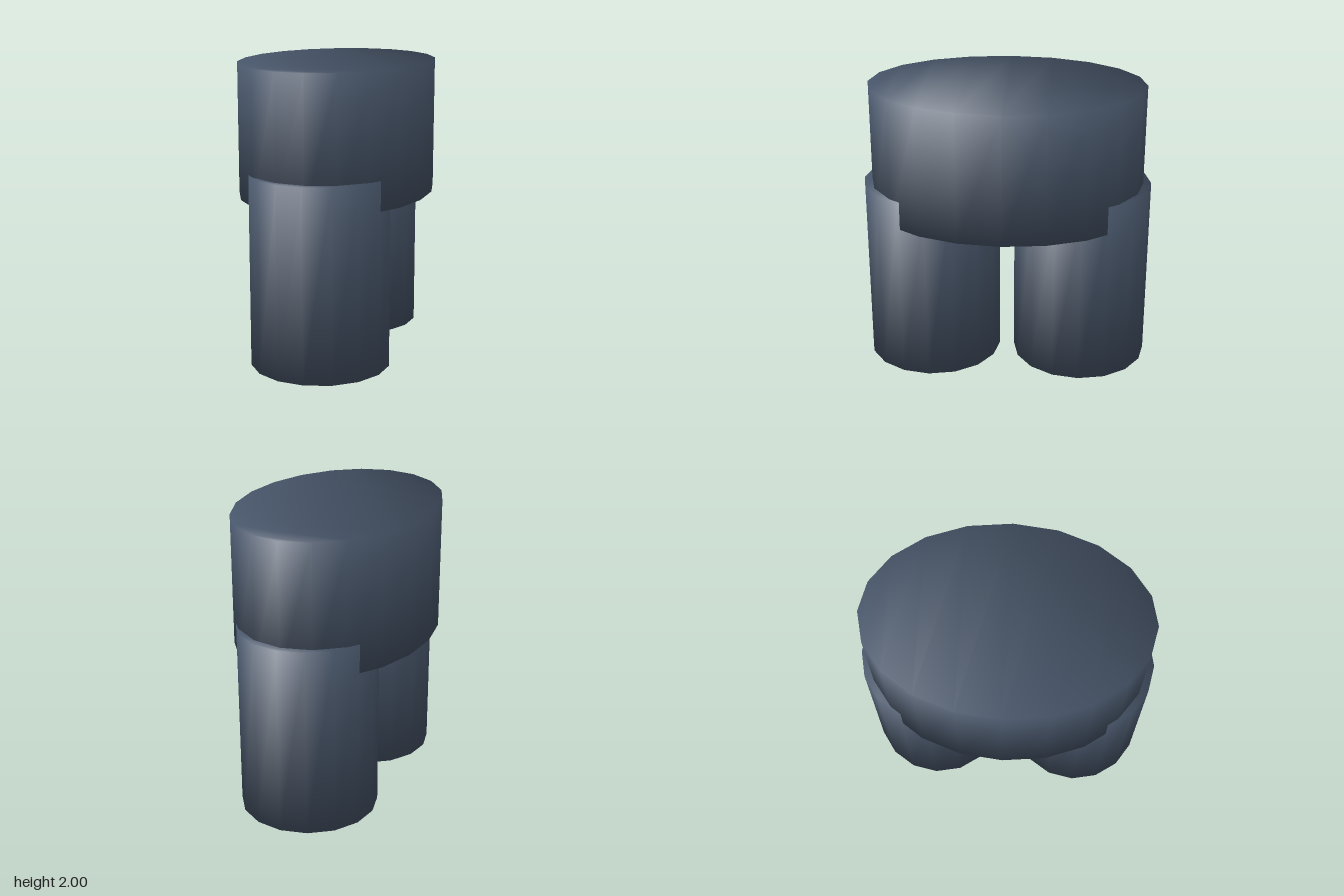
import * as THREE from 'three';

// Closed elliptical column, with smooth normals rolling over the rims
function column(rx, rz, y0, y1, n) {
  const pos = [], nor = [], idx = [];
  for (const [y, ny] of [[y0, -1], [y1, 1]]) {
    for (let i = 0; i < n; i++) {
      const a = (i / n) * Math.PI * 2, s = Math.sin(a), c = Math.cos(a);
      pos.push(rx * s, y, rz * c);
      const out = new THREE.Vector3(s / rx, 0, c / rz).normalize();
      out.y = ny;
      nor.push(...out.normalize().toArray());
    }
  }
  // side wall
  for (let i = 0; i < n; i++) {
    const j = (i + 1) % n;
    idx.push(i, j, n + j, i, n + j, n + i);
  }
  // end caps, each filled as a zigzag strip across the outline
  for (let lo = 0, hi = n - 1, flip = false; hi - lo > 1; flip = !flip) {
    const mid = flip ? hi - 1 : lo + 1;
    idx.push(n + lo, n + mid, n + hi, lo, hi, mid);
    if (flip) hi--; else lo++;
  }
  const geo = new THREE.BufferGeometry();
  geo.setAttribute('position', new THREE.Float32BufferAttribute(pos, 3));
  geo.setAttribute('normal', new THREE.Float32BufferAttribute(nor, 3));
  geo.setIndex(idx);
  return geo;
}

export function createModel() {
  const group = new THREE.Group();
  group.name = 'trousers';
  const cloth = new THREE.MeshStandardMaterial({ color: 0x475569 });
  cloth.name = 'slate blue cloth';

  // hips
  const hips = new THREE.Mesh(column(0.665, 0.945, 1.1, 2, 20), cloth);
  hips.name = 'hips';
  group.add(hips);

  // two legs, side by side along z
  const legGeo = column(0.473, 0.474, 0, 1.3, 16);
  for (const [name, side] of [['frontLeg', 1], ['backLeg', -1]]) {
    const leg = new THREE.Mesh(legGeo, cloth);
    leg.name = name;
    leg.position.z = side * 0.526;
    group.add(leg);
  }
  return group;
}
